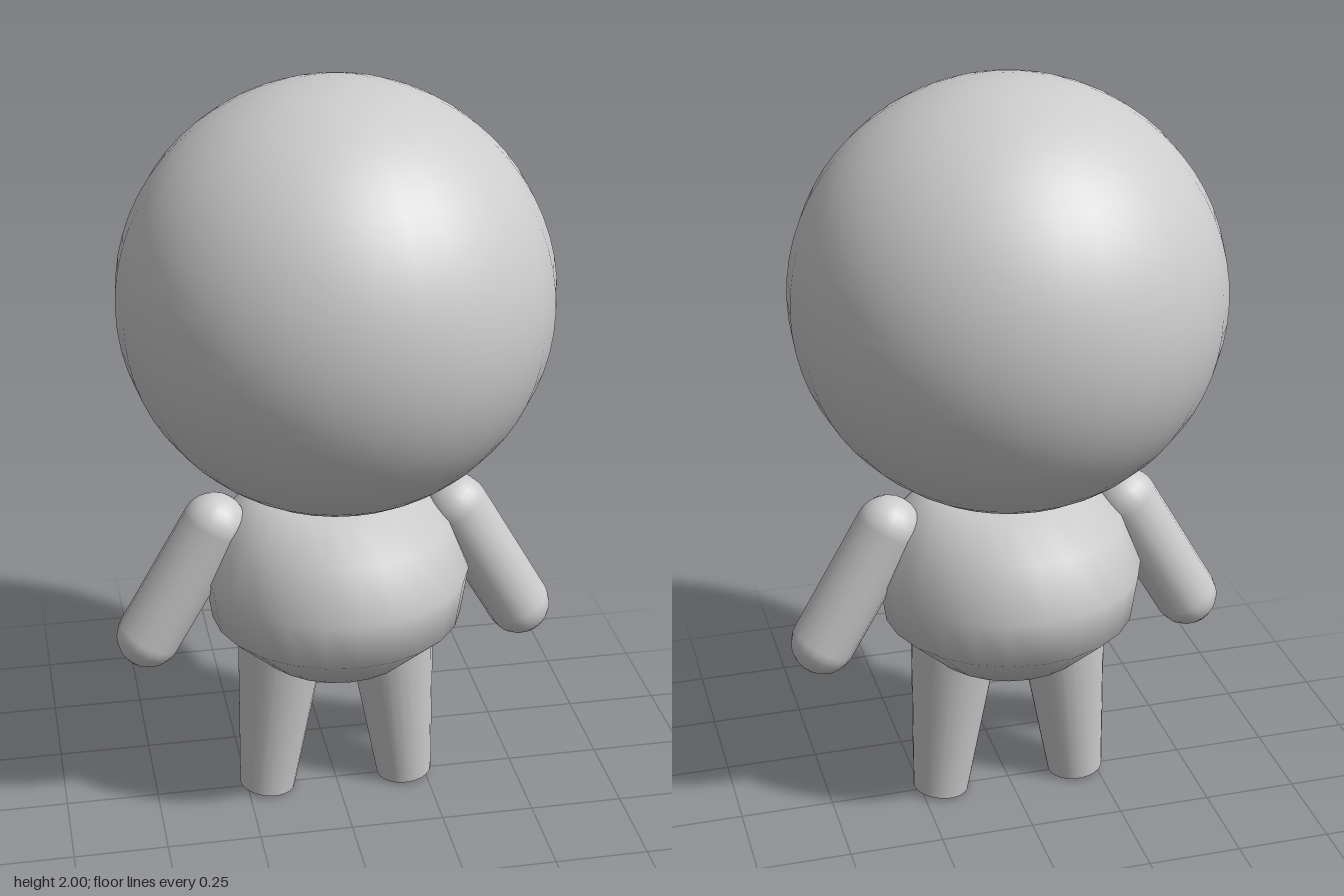
import * as THREE from 'three';

export function createModel() {
  const model = new THREE.Group();
  const grey = new THREE.MeshStandardMaterial({ color: 0xcccccc });
  grey.name = 'light grey';

  const add = (name, geometry, x, y, tilt = 0) => {
    const mesh = new THREE.Mesh(geometry, grey);
    mesh.name = name;
    mesh.position.set(x, y, 0);
    mesh.rotation.z = tilt;
    model.add(mesh);
  };

  // Large round head
  add('head', new THREE.SphereGeometry(0.557, 32, 32), 0, 1.443);

  // Barrel-shaped body, closed at both ends
  const profile = [
    [0, 0.415], [0.21, 0.433], [0.335, 0.55], [0.354, 0.68],
    [0.3, 0.815], [0.21, 0.91], [0, 0.92],
  ].map(([r, y]) => new THREE.Vector2(r, y));
  add('body', new THREE.LatheGeometry(profile, 24), 0, 0);

  // Arms splayed outward, legs tapering and spread toward the feet
  const arm = new THREE.CapsuleGeometry(0.086, 0.364, 8, 16);
  const legLength = 0.54;
  const leg = new THREE.CylinderGeometry(0.126, 0.076, legLength, 24);
  leg.translate(0, legLength / 2, 0); // pivot at the foot
  for (const [side, s] of [['left', 1], ['right', -1]]) {
    add(side + 'Arm', arm, s * 0.416, 0.667, s * Math.PI / 6);
    add(side + 'Leg', leg, s * 0.194, 0.008, s * 0.098);
  }
  return model;
}
